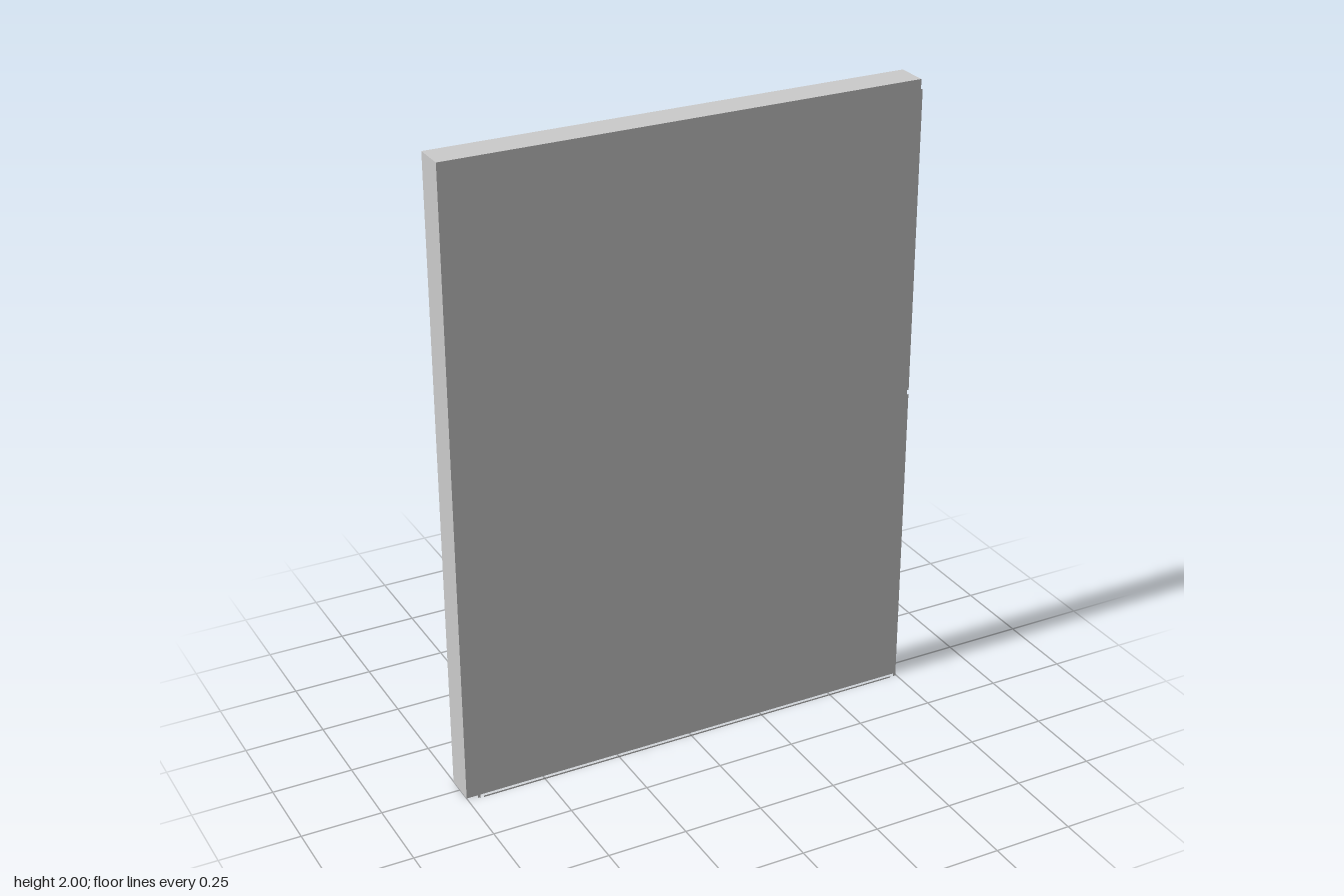
import * as THREE from 'three';

const grey = new THREE.MeshStandardMaterial({ color: 0xcccccc });
const thin = new THREE.MeshStandardMaterial({ color: 0xcccccc, side: THREE.DoubleSide });

export function createModel() {
  const group = new THREE.Group();

  const add = (name, geometry, material, x, y, z) => {
    const mesh = new THREE.Mesh(geometry, material);
    mesh.name = name;
    mesh.position.set(x, y, z);
    group.add(mesh);
  };

  // flat strip between two corners
  const strip = (name, x0, x1, y0, y1, z) =>
    add(name, new THREE.PlaneGeometry(x1 - x0, y1 - y0), thin, (x0 + x1) / 2, (y0 + y1) / 2, z);

  // flat plate cut to a shape
  const plate = (name, shape, x, y) => add(name, new THREE.ShapeGeometry(shape, 6), thin, x, y, -0.085);

  // main panel
  add('panel', new THREE.BoxGeometry(1.5, 2, 0.1), grey, 0, 1, 0);

  // front dividers
  const W = 0.0025;
  for (const y of [0.02, 0.527, 1.03, 1.35, 1.665, 1.985]) strip('frontRail', -0.71, 0.71, y - W, y + W, 0.09);
  for (const x of [-0.273, 0.299]) strip('frontDivider', x - W, x + W, 1.355, 1.98, 0.09);
  for (const x of [-0.725, 0.725]) {
    strip('lowerSideStrip', x - 0.004, x + 0.004, 0.02, 1.022, 0.09);
    strip('upperSideStrip', x - 0.004, x + 0.004, 1.036, 1.985, 0.09);
  }

  // back divider
  strip('backRail', -0.71, 0.71, 1.03 - W, 1.03 + W, -0.092);

  // L-shaped tool plates, grip towards +x
  const tool = new THREE.Shape();
  tool.moveTo(0, 0.142);
  tool.lineTo(0.275, 0.15);
  tool.quadraticCurveTo(0.284, 0.148, 0.284, 0.138);
  tool.lineTo(0.3, 0.018);
  tool.quadraticCurveTo(0.3, 0.002, 0.285, 0);
  tool.lineTo(0.255, 0);
  tool.quadraticCurveTo(0.245, 0.004, 0.242, 0.02);
  tool.lineTo(0.226, 0.085);
  tool.quadraticCurveTo(0.222, 0.095, 0.21, 0.095);
  tool.lineTo(0.008, 0.097);
  tool.closePath();
  for (const x of [0.26, -0.09]) for (const y of [1.66, 1.255]) plate('toolPlate', tool, x, y);

  // knife plates: handle towards +x, tip towards -x
  const handle = new THREE.Shape();
  handle.moveTo(0, 0.003);
  handle.lineTo(0, 0.04);
  handle.lineTo(-0.11, 0.045);
  handle.quadraticCurveTo(-0.125, 0.04, -0.125, 0.022);
  handle.quadraticCurveTo(-0.125, 0.006, -0.11, 0);
  handle.closePath();

  const straightBlade = new THREE.Shape();
  straightBlade.moveTo(-0.125, 0.004);
  straightBlade.lineTo(-0.125, 0.04);
  straightBlade.lineTo(-0.235, 0.045);
  straightBlade.quadraticCurveTo(-0.27, 0.042, -0.3, 0.024);
  straightBlade.lineTo(-0.295, 0.012);
  straightBlade.closePath();

  const sweptBlade = new THREE.Shape();
  sweptBlade.moveTo(-0.125, 0.004);
  sweptBlade.lineTo(-0.125, 0.036);
  sweptBlade.quadraticCurveTo(-0.21, 0.01, -0.3, 0.045);
  sweptBlade.quadraticCurveTo(-0.27, 0.005, -0.23, 0);
  sweptBlade.closePath();

  [1.76, 1.55, 1.352, 1.178].forEach((y, i) => {
    plate('knifeHandle', handle, -0.21, y);
    plate('knifeBlade', i < 2 ? straightBlade : sweptBlade, -0.21, y);
  });

  return group;
}
